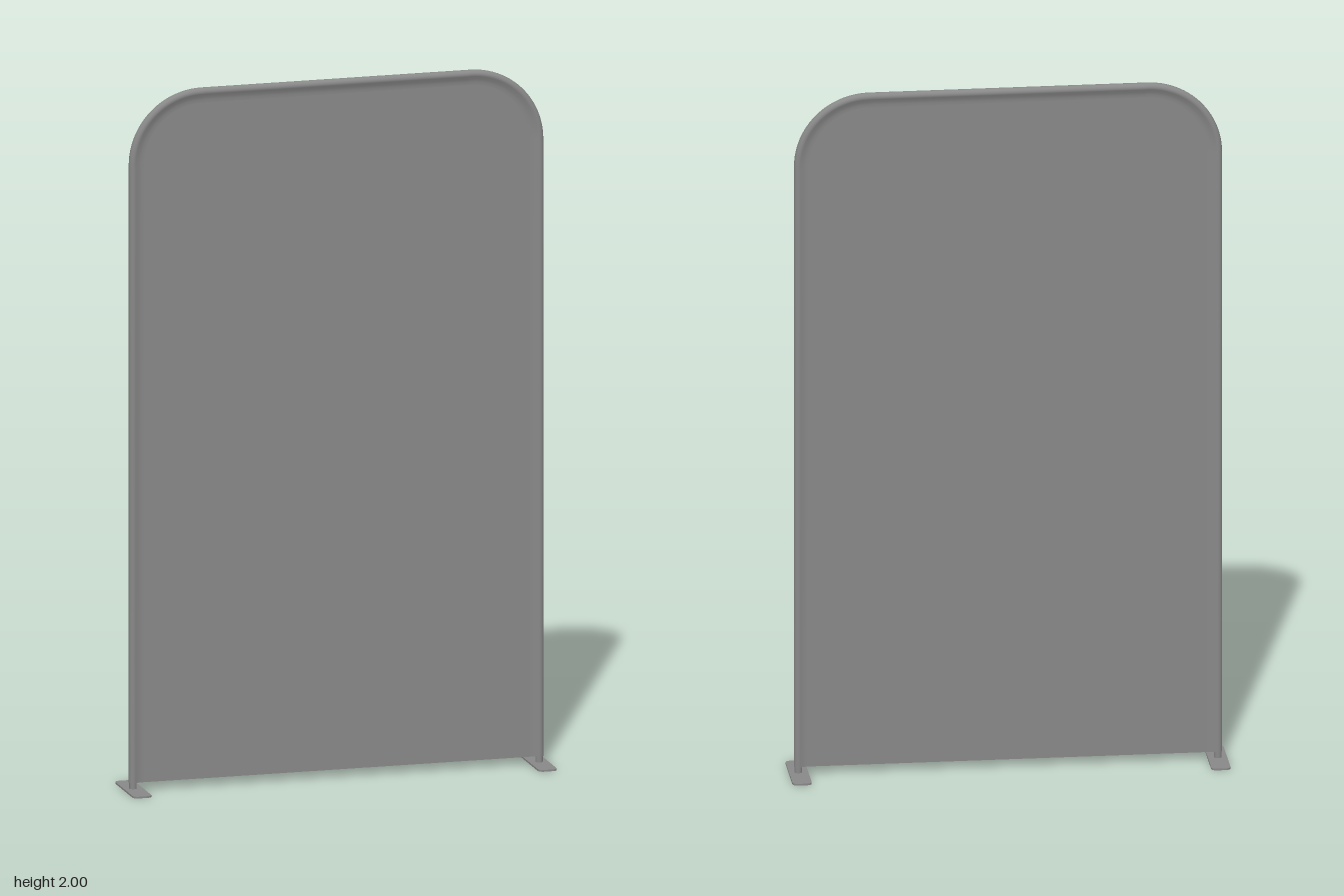
import * as THREE from 'three';

const HALF_W = 0.6, TOP = 2, CORNER = 0.21, HEM = 0.022;
const TUBE_R = 0.012, PANEL_Z = 0.0045, RIM = 0.042;

const material = new THREE.MeshStandardMaterial({ color: 0x888888, side: THREE.DoubleSide });

// Arch outline from lower left to lower right, moved inward by d
function outline(d, steps = 24) {
  const half = [];
  const cx = HALF_W - CORNER, cy = TOP - CORNER, r = CORNER - d;
  half.push([cx + r, HEM], [cx + r, cy - 0.01]);
  for (let i = 0; i <= steps; i++) {
    const a = (i / steps) * Math.PI / 2;
    half.push([cx + Math.cos(a) * r, cy + Math.sin(a) * r]);
  }
  half.push([cx - 0.01, cy + r]);
  const left = half.map(([x, y]) => new THREE.Vector2(-x, y));
  const right = half.map(([x, y]) => new THREE.Vector2(x, y)).reverse();
  return [...left, ...right];
}

// Rim section as [inset, z]: rounded over the tube, easing down to the thin panel
function rimProfile() {
  const front = [[RIM, PANEL_Z], [0.034, 0.0049], [0.026, 0.0068]];
  for (let i = 0; i <= 8; i++) {
    const a = Math.PI * (0.36 + 0.64 * i / 8);
    front.push([TUBE_R + Math.cos(a) * TUBE_R, Math.sin(a) * TUBE_R]);
  }
  const back = front.slice(0, -1).reverse().map(([d, z]) => [d, -z]);
  return [...front, ...back];
}

function rimGeometry(profile) {
  const positions = [], indices = [];
  const rows = profile.map(([d]) => outline(d));
  const n = rows[0].length;
  rows.forEach((row, j) => row.forEach((p, i) => {
    positions.push(p.x, p.y, profile[j][1]);
    if (j < rows.length - 1 && i < n - 1) {
      const a = j * n + i, b = a + n;
      indices.push(a, a + 1, b, b, a + 1, b + 1);
    }
  }));
  const geometry = new THREE.BufferGeometry();
  geometry.setAttribute('position', new THREE.Float32BufferAttribute(positions, 3));
  geometry.setIndex(indices);
  geometry.computeVertexNormals();
  return geometry;
}

function footGeometry(width, length, height, r) {
  const x = width / 2, y = length / 2;
  const shape = new THREE.Shape();
  shape.absarc(x - r, y - r, r, 0, Math.PI / 2);
  shape.absarc(-x + r, y - r, r, Math.PI / 2, Math.PI);
  shape.absarc(-x + r, -y + r, r, Math.PI, Math.PI * 1.5);
  shape.absarc(x - r, -y + r, r, Math.PI * 1.5, Math.PI * 2);
  return new THREE.ExtrudeGeometry(shape, { depth: height, bevelEnabled: false, curveSegments: 8 })
    .rotateX(-Math.PI / 2);
}

export function createModel() {
  const model = new THREE.Group();
  model.name = 'archedDisplayStand';

  const add = (name, geometry, x = 0, y = 0, z = 0) => {
    const mesh = new THREE.Mesh(geometry, material);
    mesh.name = name;
    mesh.position.set(x, y, z);
    model.add(mesh);
    return mesh;
  };

  // Stretched fabric cover, open at the bottom: rounded rim and two flat sheets
  add('fabricRim', rimGeometry(rimProfile()));
  const sheet = new THREE.ShapeGeometry(new THREE.Shape(outline(RIM)));
  add('frontFabric', sheet, 0, 0, PANEL_Z);
  add('backFabric', sheet, 0, 0, -PANEL_Z).rotation.y = Math.PI;

  // Tube leg and flat foot at both sides
  for (const [name, side] of [['left', 1], ['right', -1]]) {
    add(name + 'Leg', new THREE.CylinderGeometry(0.0105, 0.0105, 0.06, 24),
      side * (HALF_W - TUBE_R), 0.033, 0);
    add(name + 'Foot', footGeometry(0.054, 0.2, 0.005, 0.014), side * 0.587, 0, 0);
  }
  return model;
}
